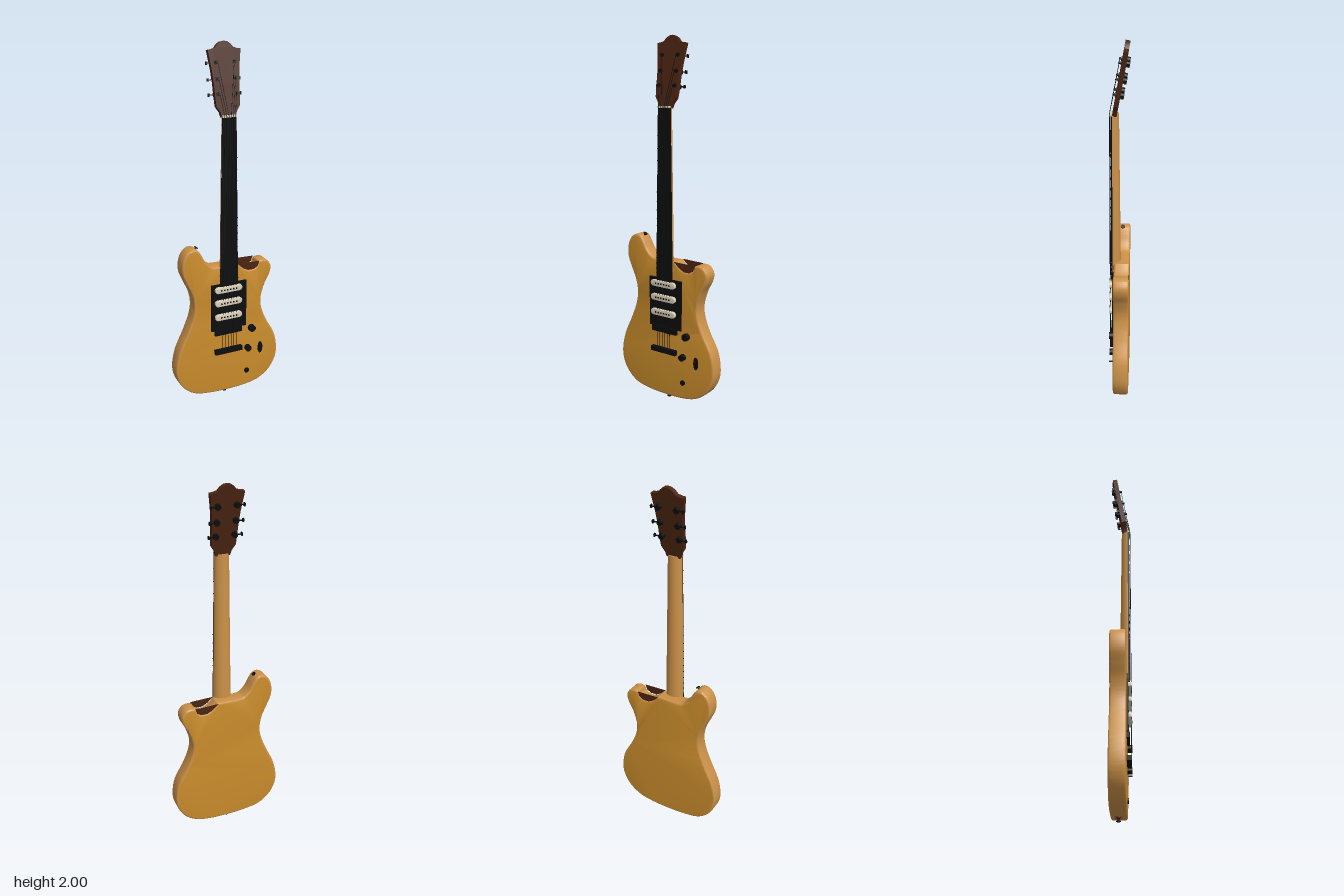
import * as THREE from 'three';
import { toCreasedNormals } from 'three/addons/utils/BufferGeometryUtils.js';

const mat = (name, color, extra = {}) => {
  const m = new THREE.MeshStandardMaterial({ color, ...extra });
  m.name = name;
  return m;
};

export function createModel() {
  const gold = mat('gold lacquer', 0xc98c2c);
  const wood = mat('natural wood', 0xcb9148);
  const brown = mat('dark brown wood', 0x4a2411, { side: THREE.DoubleSide });
  const black = mat('black', 0x0c0d0e);
  const cream = mat('cream', 0xd9cfb8);
  const red = mat('dark red felt', 0x6e2018);

  const root = new THREE.Group();
  root.name = 'guitar';
  const add = (name, geo, material, x = 0, y = 0, z = 0, parent = root) => {
    const m = new THREE.Mesh(geo, material);
    m.name = name;
    m.position.set(x, y, z);
    parent.add(m);
    return m;
  };
  const box = (name, material, w, h, d, x, y, z, parent) =>
    add(name, new THREE.BoxGeometry(w, h, d), material, x, y, z, parent);
  // cylinder along z, from z0 to z1
  const peg = (name, material, r, x, y, z0, z1, parent, seg = 20) =>
    add(name, new THREE.CylinderGeometry(r, r, z1 - z0, seg).rotateX(Math.PI / 2), material, x, y, (z0 + z1) / 2, parent);
  const string = (a, b, parent) => {
    const curve = new THREE.LineCurve3(new THREE.Vector3(...a), new THREE.Vector3(...b));
    add('string', new THREE.TubeGeometry(curve, 1, 0.0015, 5), black, 0, 0, 0, parent);
  };
  const extrude = (shape, depth, bevel, crease) => {
    const g = new THREE.ExtrudeGeometry(shape, {
      depth: depth - 2 * bevel, bevelEnabled: bevel > 0, bevelThickness: bevel,
      bevelSize: bevel, bevelOffset: -bevel, bevelSegments: 3, curveSegments: 10,
    });
    g.translate(0, 0, bevel);
    return toCreasedNormals(g, crease);
  };
  const v2 = (pts) => pts.map(([x, y]) => new THREE.Vector2(x, y));

  // Body: gold faces, wood sides, with a dip beside the neck
  const body = new THREE.Shape();
  body.moveTo(0, 0.028);
  body.splineThru(v2([[0.1, 0.032], [0.19, 0.05], [0.26, 0.095], [0.302, 0.16], [0.315, 0.23], [0.298, 0.33],
    [0.245, 0.43], [0.213, 0.51], [0.206, 0.58], [0.228, 0.66], [0.258, 0.72], [0.265, 0.765], [0.245, 0.799],
    [0.215, 0.81], [0.187, 0.805]]));
  body.splineThru(v2([[0.178, 0.78], [0.155, 0.766], [0.12, 0.766], [0.09, 0.782], [0.06, 0.812]]));
  body.lineTo(-0.06, 0.812);
  body.splineThru(v2([[-0.095, 0.818], [-0.13, 0.85], [-0.155, 0.895], [-0.175, 0.923], [-0.205, 0.932], [-0.24, 0.912],
    [-0.263, 0.865], [-0.265, 0.8], [-0.24, 0.735], [-0.212, 0.67], [-0.2, 0.6], [-0.21, 0.53], [-0.245, 0.44],
    [-0.295, 0.33], [-0.315, 0.23], [-0.303, 0.155], [-0.265, 0.095], [-0.2, 0.05], [-0.1, 0.032], [0, 0.028]]));
  add('body', extrude(body, 0.083, 0.01, 0.6), [gold, wood], 0, 0, -0.056);

  // Brown plates closing the dip at front and back
  const dip = new THREE.Shape(v2([[0.055, 0.812], [0.09, 0.78], [0.12, 0.764], [0.155, 0.764], [0.18, 0.778], [0.19, 0.808]]));
  for (const z of [0.0272, -0.0562]) add('cutaway plate', new THREE.ShapeGeometry(dip), brown, 0, 0, z);

  // Neck: tapered half round, with fretboard and frets
  const neckGeo = new THREE.CylinderGeometry(0.04, 0.052, 0.88, 24, 1, false, Math.PI / 2, Math.PI);
  neckGeo.scale(1, 1, 0.85);
  add('neck', neckGeo, wood, 0, 1.195, 0.035);
  const board = new THREE.Shape(v2([[-0.053, 0.68], [0.053, 0.68], [0.039, 1.63], [-0.039, 1.63]]));
  add('fretboard', extrude(board, 0.008, 0, 0.5), black, 0, 0, 0.034);
  for (let i = 1; i <= 21; i++) {
    const y = 0.29 + 1.34 * Math.pow(2, -i / 12);
    const w = 0.078 + (1.63 - y) * 0.0295;
    box('fret', black, w + 0.002, 0.004, 0.003, 0, y, 0.0425);
  }
  box('nut', cream, 0.078, 0.01, 0.02, 0, 1.634, 0.037);

  // Pickguard and bridge plate
  box('pickguard', black, 0.212, 0.28, 0.01, 0.002, 0.57, 0.031);
  box('bridge plate', black, 0.165, 0.035, 0.016, -0.003, 0.418, 0.034);

  // Pickups with pole pieces
  const pill = new THREE.Shape();
  pill.absarc(0.063, 0, 0.018, -Math.PI / 2, Math.PI / 2);
  pill.absarc(-0.063, 0, 0.018, Math.PI / 2, Math.PI * 1.5);
  for (const y of [0.68, 0.6, 0.515]) {
    add('pickup', extrude(pill, 0.022, 0.003, 0.5), cream, -0.005, y, 0.03);
    for (let i = 0; i < 6; i++) peg('pole piece', black, 0.005, -0.05 + i * 0.018, y, 0.05, 0.054, root, 10);
  }

  // Tailpiece
  box('tailpiece', black, 0.165, 0.026, 0.026, -0.004, 0.297, 0.038);

  // Controls
  peg('knob', black, 0.02, 0.143, 0.405, 0.025, 0.052);
  peg('knob', black, 0.018, 0.12, 0.282, 0.025, 0.052);
  peg('jack', black, 0.015, 0.117, 0.13, 0.025, 0.034);
  const switchPlate = peg('switch plate', black, 0.015, 0.203, 0.263, 0.025, 0.031);
  switchPlate.scale.y = 2.4;
  peg('switch lever', black, 0.004, 0.203, 0.275, 0.03, 0.05, root, 10);

  // Strap buttons
  const button = (x, y, angle) => {
    const g = new THREE.Group();
    g.name = 'strapButton';
    g.position.set(x, y, -0.015);
    g.rotation.z = angle;
    add('washer', new THREE.CylinderGeometry(0.015, 0.015, 0.006, 20), red, 0, 0.001, 0, g);
    add('post', new THREE.CylinderGeometry(0.005, 0.007, 0.016, 14), black, 0, 0.01, 0, g);
    add('cap', new THREE.CylinderGeometry(0.011, 0.011, 0.005, 20), black, 0, 0.02, 0, g);
    root.add(g);
  };
  button(-0.182, 0.914, -0.6);
  button(-0.005, 0.026, Math.PI);

  // Headstock, tilted back
  const head = new THREE.Group();
  head.name = 'headstock';
  head.position.set(0, 1.63, 0.036);
  head.rotation.x = -0.18;
  root.add(head);
  const right = [[0.039, 0], [0.045, 0.025], [0.065, 0.055], [0.068, 0.1], [0.07, 0.17], [0.076, 0.24], [0.09, 0.335],
    [0.07, 0.337], [0.05, 0.343], [0.036, 0.36], [0.018, 0.372]];
  const left = right.map(([x, y]) => [-x, y]).reverse();
  const outline = new THREE.Shape(v2([...right, [0, 0.375], ...left]));
  add('headstock plate', extrude(outline, 0.024, 0, 0.5), brown, 0, 0, -0.024, head);

  // Tuners and strings
  for (const s of [-1, 1]) {
    [0.115, 0.19, 0.272].forEach((y, i) => {
      const x = s * 0.05;
      peg('tuner post', black, 0.006, x, y, 0, 0.016, head, 12);
      peg('tuner bushing', black, 0.011, x, y, 0, 0.004, head, 14);
      peg('tuner housing', black, 0.015, x, y, -0.042, -0.024, head, 16);
      box('tuner shaft', black, 0.036, 0.005, 0.005, s * 0.068, y, -0.034, head);
      box('tuner button', black, 0.007, 0.016, 0.014, s * 0.088, y, -0.034, head);
      const nutX = s * (0.03 - i * 0.012);
      string([nutX, 0.004, 0.014], [x - s * 0.005, y, 0.011], head);
      string([nutX * 1.45, 0.297, 0.05], [nutX, 1.636, 0.0485]);
    });
  }
  return root;
}
